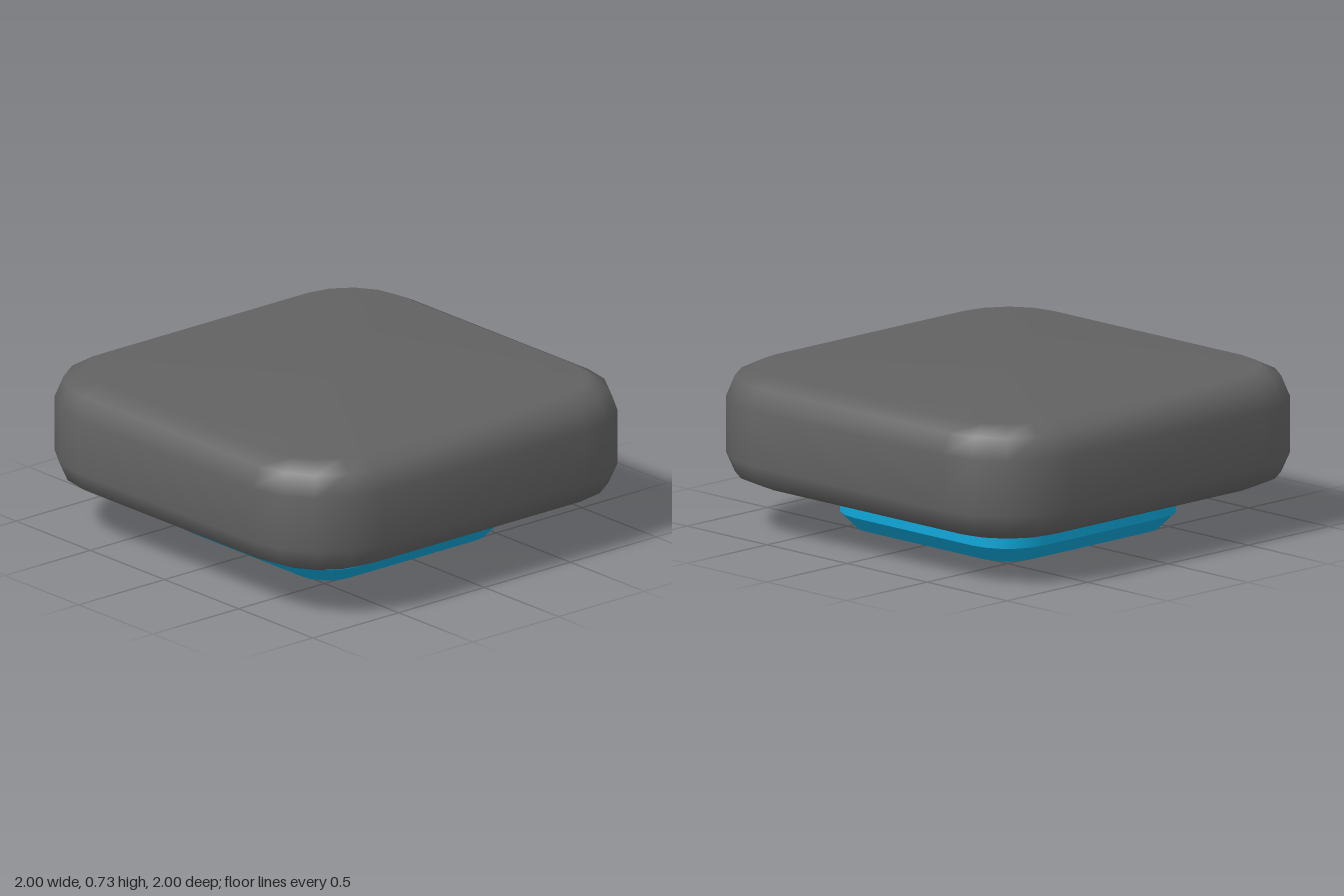
import * as THREE from 'three';
import { toCreasedNormals } from 'three/addons/utils/BufferGeometryUtils.js';

// Rounded-square ring: half width h, corner radius r, height y
function ring(h, r, y, segments) {
  const points = [];
  for (let corner = 0; corner < 4; corner++) {
    const cx = (corner === 0 || corner === 3 ? 1 : -1) * (h - r);
    const cz = (corner < 2 ? 1 : -1) * (h - r);
    for (let i = 0; i <= segments; i++) {
      const a = (corner + i / segments) * Math.PI / 2;
      points.push([cx + r * Math.cos(a), y, cz + r * Math.sin(a)]);
    }
  }
  return points;
}

// Closed solid through rings [half width, radius, y], from bottom to top
function loft(sections, segments) {
  const rings = sections.map(([h, r, y]) => ring(h, r, y, segments));
  const n = rings[0].length;
  const last = (rings.length - 1) * n;
  const bottom = rings.length * n;
  const top = bottom + 1;
  const positions = rings.flat(2);
  positions.push(0, sections[0][2], 0, 0, sections[sections.length - 1][2], 0);
  const index = [];
  for (let i = 0; i < n; i++) {
    const j = (i + 1) % n;
    for (let k = 0; k < last; k += n) {
      index.push(k + i, k + n + i, k + j, k + j, k + n + i, k + n + j);
    }
    index.push(bottom, i, j, top, last + j, last + i);
  }
  const geometry = new THREE.BufferGeometry();
  geometry.setAttribute('position', new THREE.Float32BufferAttribute(positions, 3));
  geometry.setIndex(index);
  geometry.computeVertexNormals();
  return geometry;
}

export function createModel() {
  const group = new THREE.Group();
  const darkGrey = new THREE.MeshStandardMaterial({ color: 0x626262 });
  darkGrey.name = 'darkGrey';
  const blue = new THREE.MeshStandardMaterial({ color: 0x0fa6d8 });
  blue.name = 'blue';

  // Soft pillow-shaped cap with smooth normals
  const cap = new THREE.Mesh(loft([
    [0.87, 0.28, 0.21], [0.96, 0.37, 0.25], [1, 0.41, 0.34],
    [1, 0.41, 0.59], [0.96, 0.37, 0.685], [0.87, 0.28, 0.73],
  ], 4), darkGrey);
  cap.name = 'cap';

  // Chamfered foot with crisp edges
  const foot = new THREE.Mesh(toCreasedNormals(loft([
    [0.515, 0.145, 0], [0.59, 0.22, 0.075], [0.59, 0.22, 0.22],
  ], 5), 0.6), blue);
  foot.name = 'foot';

  group.add(cap, foot);
  return group;
}
